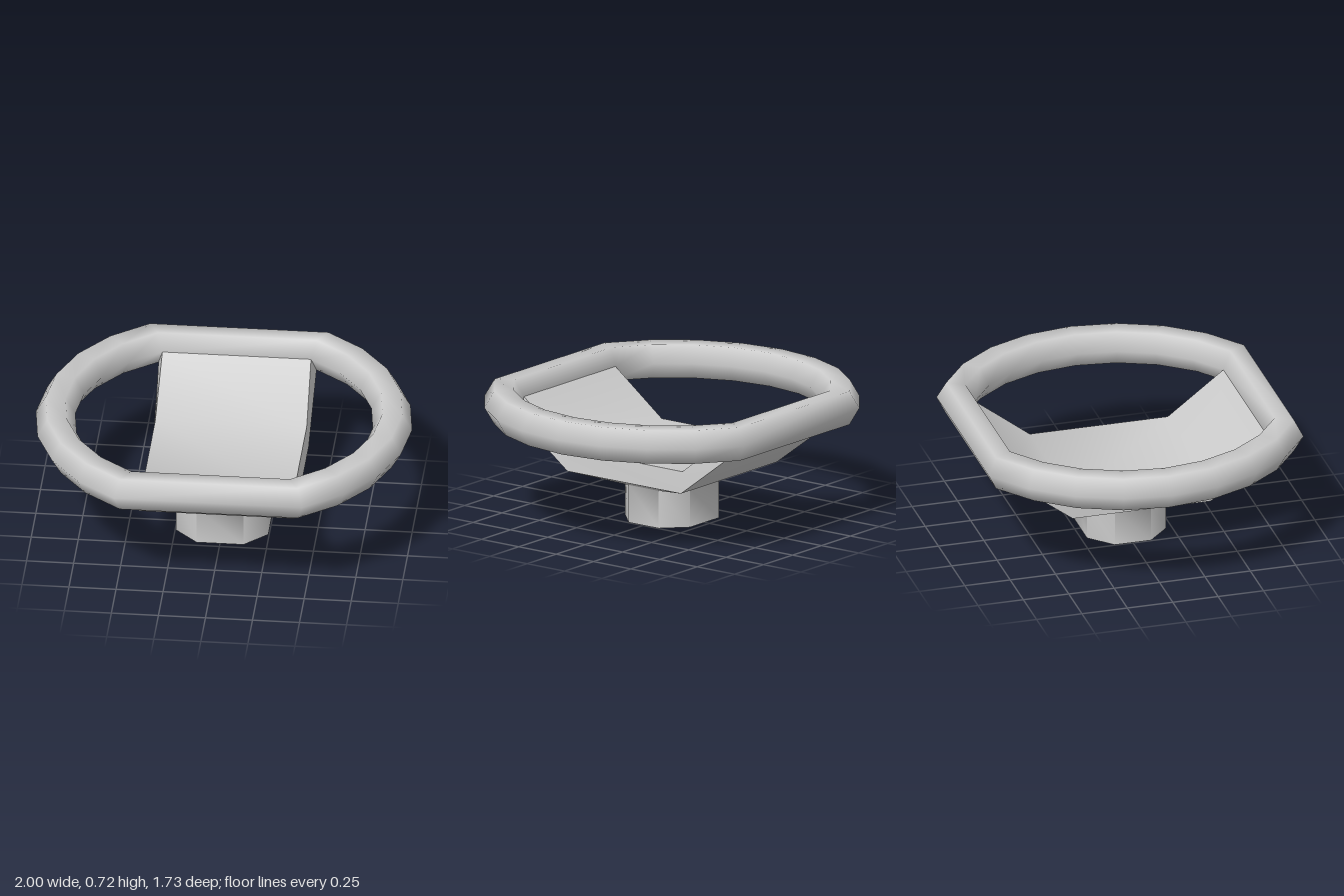
import * as THREE from 'three';
import { mergeVertices, toCreasedNormals } from 'three/addons/utils/BufferGeometryUtils.js';

const material = new THREE.MeshStandardMaterial({ color: 0xcccccc, side: THREE.DoubleSide });

// Hexagonal tube bent into a ring with two straight sides
function rimGeometry() {
  const steps = 18;
  const geo = new THREE.TorusGeometry(0.895, 0.105, 6, steps);
  const pos = geo.attributes.position;
  for (let k = 0; k < pos.count; k++) {
    const i = (k % (steps + 1)) % steps;
    const angle = THREE.MathUtils.degToRad(i < 9 ? -60 + 15 * i : 120 + 15 * (i - 9));
    const r = Math.hypot(pos.getX(k), pos.getY(k));
    pos.setXY(k, r * Math.cos(angle), r * Math.sin(angle));
  }
  geo.deleteAttribute('normal');
  geo.deleteAttribute('uv');
  const welded = mergeVertices(geo, 1e-4);
  welded.rotateX(Math.PI / 2);
  welded.translate(0, 0.625, 0);
  welded.computeVertexNormals();
  return welded;
}

// Collects quads (counter-clockwise from outside) into one geometry
function quadBuilder() {
  const data = [];
  return {
    quad(a, b, c, d) {
      for (const p of [a, b, c, a, c, d]) data.push(...p);
    },
    build(crease) {
      const geo = new THREE.BufferGeometry();
      geo.setAttribute('position', new THREE.Float32BufferAttribute(data, 3));
      return toCreasedNormals(geo, crease);
    },
  };
}

function spokeAndHubGeometry() {
  const { quad, build } = quadBuilder();

  // Spoke plate: trapezoid sections from rim to rim
  const section = (zb, yb, xb, zt, yt, xt) => ({
    bl: [-xb, yb, zb], br: [xb, yb, zb], tl: [-xt, yt, zt], tr: [xt, yt, zt],
  });
  const sections = [
    section(-0.73, 0.535, 0.42, -0.684, 0.625, 0.395),
    section(-0.38, 0.27, 0.413, -0.38, 0.388, 0.402),
    section(0.38, 0.27, 0.413, 0.38, 0.388, 0.402),
    section(0.73, 0.535, 0.42, 0.684, 0.625, 0.395),
  ];
  for (let k = 0; k < 3; k++) {
    const s = sections[k], e = sections[k + 1];
    quad(s.tl, e.tl, e.tr, s.tr);
    quad(s.br, s.tr, e.tr, e.br);
    quad(s.bl, e.bl, e.tl, s.tl);
    if (k !== 1) quad(s.bl, s.br, e.br, e.bl);
  }

  // Hub: open eight-sided socket flaring out to the rectangular plate
  const octagon = [[0.245, 0.1], [0.125, 0.218], [-0.125, 0.218], [-0.245, 0.1],
    [-0.245, -0.1], [-0.125, -0.218], [0.125, -0.218], [0.245, -0.1]];
  const rings = [
    octagon.map(([x, z]) => [x, 0, z]),
    octagon.map(([x, z]) => [x, 0.205, z]),
    octagon.map(([x, z]) => [0.413 * Math.sign(x), 0.27, 0.38 * Math.sign(z)]),
  ];
  for (let r = 0; r < 2; r++) {
    for (let i = 0; i < 8; i++) {
      const j = (i + 1) % 8;
      quad(rings[r][i], rings[r + 1][i], rings[r + 1][j], rings[r][j]);
    }
  }
  return build(THREE.MathUtils.degToRad(70));
}

export function createModel() {
  const group = new THREE.Group();
  group.name = 'steeringWheel';
  const add = (name, geometry) => {
    const mesh = new THREE.Mesh(geometry, material);
    mesh.name = name;
    group.add(mesh);
  };
  add('rim', rimGeometry());
  add('spokeAndHub', spokeAndHubGeometry());
  return group;
}
